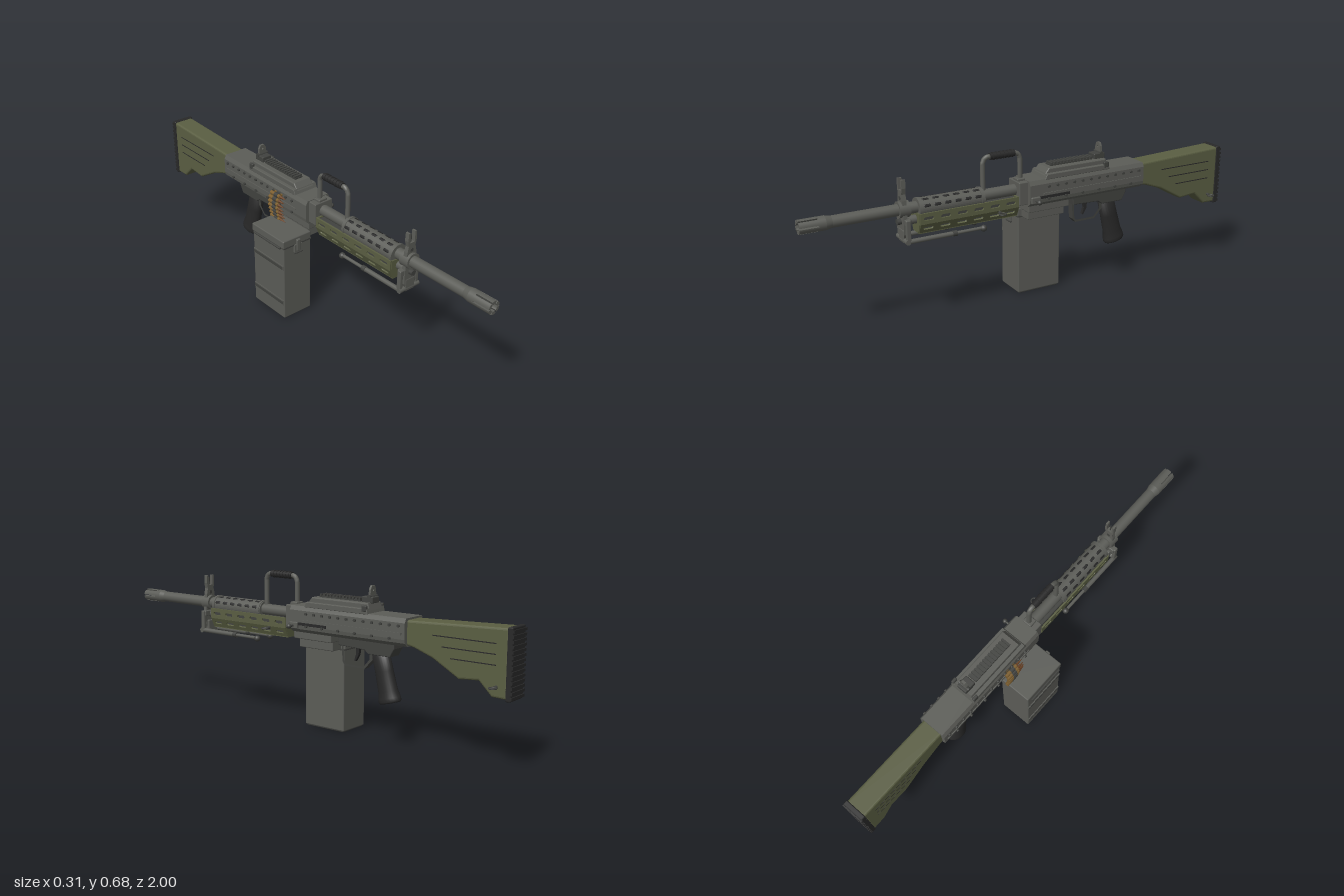
import * as THREE from 'three';
import { RoundedBoxGeometry } from 'three/addons/geometries/RoundedBoxGeometry.js';

const mat = (name, color, side = THREE.FrontSide) => {
  const m = new THREE.MeshStandardMaterial({ color, side });
  m.name = name;
  return m;
};

export function createModel() {
  const steel = mat('steel grey', 0x5b5c57);
  const dark = mat('dark steel', 0x41423f);
  const black = mat('black polymer', 0x282828);
  const olive = mat('olive polymer', 0x5a5e42);
  const brass = mat('brass', 0x7d5f30);
  const copper = mat('copper', 0x6b4327);

  const model = new THREE.Group();
  model.name = 'beltFedGun';
  const gun = new THREE.Group();
  gun.name = 'gun';
  gun.position.x = 0.043;
  const ammo = new THREE.Group();
  ammo.name = 'ammoSupply';
  model.add(gun, ammo);

  // Helpers
  const add = (name, geo, m, x = 0, y = 0, z = 0, parent = gun) => {
    const mesh = new THREE.Mesh(geo, m);
    mesh.name = name;
    mesh.position.set(x, y, z);
    parent.add(mesh);
    return mesh;
  };
  const box = (name, m, x0, x1, y0, y1, z0, z1, parent = gun, r = 0.004) => {
    const w = x1 - x0, h = y1 - y0, d = z1 - z0;
    const thin = Math.min(w, h, d) < 0.012;
    const geo = thin ? new THREE.BoxGeometry(w, h, d) : new RoundedBoxGeometry(w, h, d, 1, r);
    return add(name, geo, m, (x0 + x1) / 2, (y0 + y1) / 2, (z0 + z1) / 2, parent);
  };
  const cylZ = (name, m, x, y, z0, z1, r0, r1 = r0, n = 24, parent = gun) =>
    add(name, new THREE.CylinderGeometry(r1, r0, z1 - z0, n).rotateX(Math.PI / 2), m, x, y, (z0 + z1) / 2, parent);
  const cylX = (name, m, x0, x1, y, z, r, n = 16, parent = gun) =>
    add(name, new THREE.CylinderGeometry(r, r, x1 - x0, n).rotateZ(Math.PI / 2), m, (x0 + x1) / 2, y, z, parent);
  const poly = (pts) => new THREE.Shape(pts.map(([a, b]) => new THREE.Vector2(a, b)));
  const mirrored = (pts) => poly([...pts, ...pts.slice().reverse().map(([a, b]) => [-a, b])]);
  // Front cross-section swept along z
  const alongZ = (name, m, shape, z0, z1, bevel = 0) => {
    const geo = new THREE.ExtrudeGeometry(shape, { depth: z1 - z0 - 2 * bevel, curveSegments: 12,
      bevelEnabled: bevel > 0, bevelSize: bevel, bevelOffset: -bevel, bevelThickness: bevel, bevelSegments: 2 });
    return add(name, geo, m, 0, 0, z0 + bevel);
  };
  // Side profile of [z, y] points swept across x
  const acrossX = (name, m, shape, w, bevel = 0) => {
    const geo = new THREE.ExtrudeGeometry(shape, { depth: w - 2 * bevel, bevelEnabled: bevel > 0,
      bevelSize: bevel, bevelOffset: -bevel, bevelThickness: bevel, bevelSegments: 3 });
    geo.rotateY(-Math.PI / 2).translate(w / 2 - bevel, 0, 0);
    return add(name, geo, m);
  };
  const tube = (name, m, pts, r, closed = false) => {
    const path = new THREE.CurvePath();
    const v = pts.map((p) => new THREE.Vector3(...p));
    const ends = closed ? v.length : v.length - 1;
    for (let i = 0; i < ends; i++) path.add(new THREE.LineCurve3(v[i], v[(i + 1) % v.length]));
    return add(name, new THREE.TubeGeometry(path, 64, r, 10, closed), m);
  };

  // Barrel and slotted flash hider
  const Y = 0.5;
  cylZ('barrel', steel, 0, Y, 0.03, 0.9, 0.024);
  cylZ('flashHiderCone', steel, 0, Y, 0.87, 0.895, 0.024, 0.029);
  cylZ('flashHiderBase', steel, 0, Y, 0.895, 0.925, 0.029);
  cylZ('muzzleCore', dark, 0, Y, 0.9, 0.935, 0.017);
  for (let i = 0; i < 6; i++) {
    const a = i * Math.PI / 3 + 0.1, b = a + Math.PI / 3 - 0.22;
    const s = new THREE.Shape();
    s.absarc(0, 0, 0.029, a, b, false);
    s.absarc(0, 0, 0.016, b, a, true);
    alongZ('flashHiderProng', steel, s, 0.92, 1.0).position.y = Y;
  }

  // Gas tube, front sight and its collar
  cylZ('gasTube', steel, 0, 0.45, 0.08, 0.58, 0.018);
  cylZ('gasPlug', dark, 0, 0.45, 0.58, 0.605, 0.013, 0.013, 6);
  cylZ('sightCollar', steel, 0, Y, 0.555, 0.6, 0.034);
  alongZ('frontSight', steel, mirrored([[0.018, 0.37], [0.03, 0.4], [0.031, 0.45], [0.024, 0.54],
    [0.018, 0.565], [0.023, 0.59], [0.021, 0.625], [0.013, 0.625], [0.012, 0.58]]), 0.57, 0.588);
  cylZ('sightHole', dark, 0, 0.548, 0.569, 0.589, 0.008);
  box('sightPost', dark, -0.002, 0.002, 0.57, 0.615, 0.577, 0.581);

  // Folded bipod
  cylX('bipodAxle', steel, -0.052, 0.053, 0.375, 0.58, 0.011);
  box('bipodMount', steel, -0.025, 0.025, 0.365, 0.42, 0.56, 0.59);
  for (const s of [-1, 1]) {
    const x = s * 0.043;
    cylZ('bipodLeg', steel, x, 0.375, 0.24, 0.58, 0.007);
    cylZ('bipodSleeve', steel, x, 0.375, 0.38, 0.57, 0.01);
    cylZ('bipodCollar', dark, x, 0.375, 0.365, 0.385, 0.012);
    add('bipodFoot', new THREE.SphereGeometry(0.014, 14, 10), dark, x, 0.373, 0.243);
    box('bipodEar', steel, x - 0.008, x + 0.008, 0.375, 0.465, 0.565, 0.585);
  }
  box('bipodBridge', steel, -0.045, 0.045, 0.44, 0.465, 0.56, 0.585);

  // Slotted handguard panels around a dark core
  const panel = (h, n) => {
    const L = 0.445, r = 0.007, half = 0.022;
    const s = poly([[0, 0], [L, 0], [L, h], [0, h]]);
    for (let i = 0; i < n; i++) {
      const c = (i + 0.5) * L / n, hole = new THREE.Path();
      hole.absarc(c + half - r, h / 2, r, -Math.PI / 2, Math.PI / 2, false);
      hole.absarc(c - half + r, h / 2, r, Math.PI / 2, Math.PI * 1.5, false);
      s.holes.push(hole);
    }
    return new THREE.ExtrudeGeometry(s, { depth: 0.008, bevelEnabled: false, curveSegments: 5 })
      .rotateY(-Math.PI / 2).translate(0.004, 0, 0);
  };
  box('handguardCore', dark, -0.035, 0.035, 0.43, 0.478, 0.085, 0.515);
  box('handguardLowerCore', dark, -0.022, 0.022, 0.403, 0.44, 0.085, 0.515);
  for (const s of [-1, 1]) {
    add('handguardSide', panel(0.045, 6), olive, s * 0.043, 0.437, 0.078);
    add('handguardSlope', panel(0.043, 6), olive, s * 0.026, 0.399, 0.078).rotation.z = -s * 0.41;
  }
  box('handguardFloor', olive, -0.029, 0.029, 0.394, 0.403, 0.078, 0.523);
  for (const z of [0.076, 0.517]) {
    alongZ('handguardCap', olive, mirrored([[0.025, 0.396], [0.042, 0.437], [0.042, 0.48]]), z, z + 0.008);
  }

  // Perforated heat shield over the barrel
  const arc = new THREE.Shape();
  arc.absarc(0, 0, 0.041, -0.35, Math.PI + 0.35, false);
  arc.absarc(0, 0, 0.036, Math.PI + 0.35, -0.35, true);
  alongZ('heatShield', steel, arc, 0.23, 0.52).position.y = 0.494;
  for (let i = 0; i < 6; i++) {
    for (const a of [-1.15, -0.4, 0.4, 1.15]) {
      const hole = add('heatShieldSlot', new THREE.CapsuleGeometry(0.006, 0.018, 3, 8).scale(1, 1, 0.25)
        .rotateX(Math.PI / 2), black, Math.sin(a) * 0.041, 0.494 + Math.cos(a) * 0.041, 0.262 + i * 0.045);
      hole.rotation.z = -a;
    }
  }
  for (const z of [0.235, 0.508]) cylZ('shieldBand', steel, 0, 0.494, z, z + 0.012, 0.044);

  // Carrying handle
  tube('carryHandle', steel, [[0, 0.5, 0.222], [0, 0.635, 0.222], [0, 0.652, 0.215], [0, 0.66, 0.2],
    [0, 0.66, 0.07], [0, 0.652, 0.055], [0, 0.635, 0.048], [0, 0.48, 0.048]], 0.0105);
  cylZ('carryGrip', black, 0, 0.66, 0.075, 0.19, 0.0145);
  for (let i = 0; i < 6; i++) cylZ('gripRing', black, 0, 0.66, 0.085 + i * 0.017, 0.093 + i * 0.017, 0.0165);
  box('handleMount', steel, -0.022, 0.022, 0.5, 0.55, 0.033, 0.07);

  // Receiver
  alongZ('receiver', steel, mirrored([[0.045, 0.43], [0.062, 0.445], [0.065, 0.46], [0.065, 0.525],
    [0.055, 0.543]]), -0.545, 0.035);
  box('trunnion', steel, -0.047, 0.047, 0.44, 0.54, 0.03, 0.075);
  for (const s of [-1, 1]) {
    box('receiverRail', steel, s * 0.066 - 0.003, s * 0.066 + 0.003, 0.478, 0.486, -0.53, -0.03);
    for (let i = 0; i < 12; i++) {
      const z = -0.055 - i * 0.042;
      for (const y of i % 2 ? [0.513] : [0.513, 0.46]) {
        cylX('rivet', dark, s * 0.067 - 0.005, s * 0.067 + 0.005, y, z, 0.006, 8);
      }
    }
  }
  box('chargingSlot', black, 0.064, 0.067, 0.462, 0.474, -0.16, 0.02);
  cylX('chargingRod', dark, 0.06, 0.095, 0.46, 0.01, 0.005);
  add('chargingKnob', new THREE.SphereGeometry(0.0105, 14, 10), dark, 0.1, 0.46, 0.01);
  box('chargingSlide', steel, 0.06, 0.075, 0.447, 0.475, -0.012, 0.032);

  // Feed cover, toothed rail and rear sight
  acrossX('feedCoverBase', steel, poly([[-0.04, 0.54], [-0.05, 0.563], [-0.36, 0.563], [-0.365, 0.54]]), 0.122, 0.003);
  acrossX('feedCoverTop', steel, poly([[-0.045, 0.555], [-0.068, 0.583], [-0.355, 0.583], [-0.362, 0.555]]), 0.09, 0.005);
  for (const s of [-1, 1]) box('coverHinge', dark, s * 0.056 - 0.007, s * 0.056 + 0.007, 0.55, 0.575, -0.36, -0.335);
  box('topRail', dark, -0.02, 0.02, 0.58, 0.589, -0.3, -0.09);
  for (let i = 0; i < 13; i++) box('railTooth', dark, -0.021, 0.021, 0.587, 0.597, -0.3 + i * 0.0165, -0.291 + i * 0.0165);
  box('rearSightBase', dark, -0.024, 0.024, 0.58, 0.606, -0.363, -0.308);
  const leaf = mirrored([[0.02, 0.6], [0.018, 0.635], [0.009, 0.65]]);
  leaf.holes.push(new THREE.Path().absarc(0, 0.632, 0.005, 0, Math.PI * 2, true));
  alongZ('rearSightLeaf', steel, leaf, -0.35, -0.34);
  cylX('rearSightKnob', dark, -0.026, 0.026, 0.606, -0.345, 0.008);

  // Feed tray below the receiver
  box('feedTray', steel, -0.045, 0.045, 0.4, 0.435, -0.17, 0.03);
  box('boxBracket', steel, -0.04, 0.02, 0.36, 0.405, -0.16, 0.02);

  // Trigger group
  acrossX('triggerHousing', dark, poly([[-0.195, 0.432], [-0.2, 0.395], [-0.33, 0.39], [-0.35, 0.375],
    [-0.455, 0.375], [-0.475, 0.41], [-0.475, 0.432]]), 0.066, 0.004);
  const guard = poly([[-0.203, 0.4], [-0.208, 0.325], [-0.222, 0.308], [-0.32, 0.308], [-0.36, 0.35], [-0.36, 0.4]]);
  guard.holes.push(poly([[-0.213, 0.392], [-0.217, 0.328], [-0.226, 0.317], [-0.316, 0.317], [-0.345, 0.35], [-0.345, 0.392]]));
  acrossX('triggerGuard', dark, guard, 0.03);
  acrossX('trigger', black, poly([[-0.268, 0.4], [-0.272, 0.365], [-0.262, 0.335], [-0.268, 0.332],
    [-0.284, 0.36], [-0.288, 0.4]]), 0.014);

  // Pistol grip with a flared foot
  const gripProfile = [[0, -0.11], [0.033, -0.11], [0.036, -0.104], [0.0355, -0.09], [0.031, -0.06],
    [0.029, 0.02], [0.028, 0.1], [0, 0.1]].map(([r, y]) => new THREE.Vector2(r, y));
  const grip = add('pistolGrip', new THREE.LatheGeometry(gripProfile, 24).scale(1, 1, 1.42), black, 0, 0.29, -0.413);
  grip.rotation.x = 0.25;

  // Stock with side grooves, ribbed butt pad
  acrossX('stock', olive, poly([[-0.535, 0.535], [-0.535, 0.438], [-0.575, 0.43], [-0.66, 0.4], [-0.775, 0.335],
    [-0.86, 0.342], [-0.915, 0.288], [-0.98, 0.286], [-0.98, 0.551]]), 0.094, 0.009);
  for (const s of [-1, 1]) {
    [[-0.66, -0.93, 0.49], [-0.7, -0.93, 0.45], [-0.74, -0.93, 0.41]].forEach(([z1, z0, y]) =>
      box('stockGroove', black, s * 0.0472 - 0.0006, s * 0.0472 + 0.0006, y - 0.002, y + 0.002, z0, z1));
  }
  box('buttPad', black, -0.05, 0.05, 0.28, 0.555, -0.995, -0.973, gun, 0.005);
  for (let i = 0; i < 14; i++) box('buttRib', black, -0.05, 0.05, 0.287 + i * 0.019, 0.298 + i * 0.019, -1.0, -0.975);

  // Sling rings on the left side
  for (const [y, z] of [[0.33, -0.935], [0.43, 0.17]]) {
    cylX('slingStud', dark, 0.04, 0.061, y, z, 0.006);
    add('slingRing', new THREE.TorusGeometry(0.014, 0.003, 8, 20).rotateX(Math.PI / 2), dark, 0.074, y, z);
  }

  // Ammunition box with lid, latch and hinges
  box('ammoBox', steel, -0.143, 0.005, 0.005, 0.362, -0.175, 0.035, ammo, 0.005);
  box('ammoBoxFoot', dark, -0.138, 0.001, 0, 0.012, -0.17, 0.03, ammo);
  box('ammoBoxLid', steel, -0.147, 0.004, 0.36, 0.396, -0.18, 0.037, ammo, 0.005);
  box('lidLip', dark, -0.144, 0.006, 0.357, 0.363, -0.177, 0.037, ammo);
  box('latchPlate', steel, -0.089, -0.048, 0.32, 0.362, 0.033, 0.042, ammo);
  box('latchTongue', steel, -0.079, -0.058, 0.33, 0.386, 0.034, 0.047, ammo);
  cylX('latchPin', dark, -0.09, -0.047, 0.322, 0.041, 0.004, 10, ammo);
  cylZ('lidHinge', dark, -0.15, 0.36, -0.16, 0.02, 0.005, 0.005, 10, ammo);
  for (const y of [0.085, 0.263]) {
    box('boxStrap', steel, -0.146, -0.14, y - 0.012, y + 0.012, -0.172, 0.032, ammo);
    box('boxStrapEdge', dark, -0.148, -0.14, y - 0.007, y + 0.007, -0.17, 0.03, ammo);
  }

  // Cartridge belt rising from the box into the feed
  const belt = new THREE.CatmullRomCurve3([[-0.034, 0.396], [-0.038, 0.42], [-0.044, 0.45], [-0.043, 0.48],
    [-0.034, 0.505], [-0.015, 0.512]].map(([x, y]) => new THREE.Vector3(x, y, 0)));
  belt.getSpacedPoints(7).forEach((p) => {
    cylZ('cartridgeCase', brass, p.x, p.y, -0.185, -0.122, 0.0088, 0.0085, 12, ammo);
    cylZ('bullet', copper, p.x, p.y, -0.122, -0.09, 0.0065, 0.0015, 12, ammo);
    cylZ('beltLink', dark, p.x, p.y, -0.158, -0.136, 0.0102, 0.0102, 12, ammo);
  });

  return model;
}
